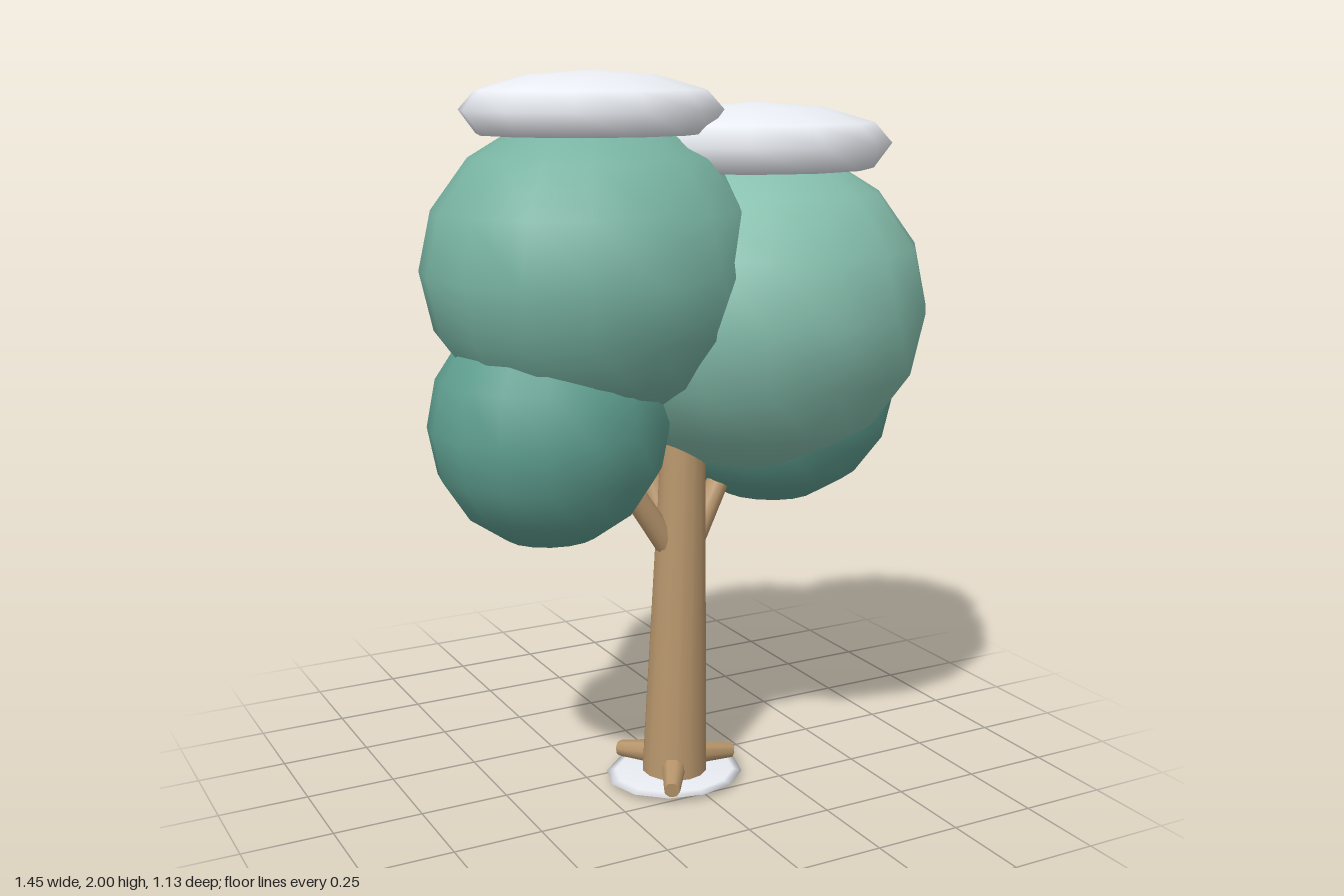
import * as THREE from 'three';

const material = (color) => new THREE.MeshStandardMaterial({ color });
const bark = material(0xb8966c);
const snow = material(0xe9ecf2);
const leafLight = material(0x86bfad);
const leafMid = material(0x78b3a2);
const leafDark = material(0x5f9f90);

function add(group, name, geometry, mat) {
  const mesh = new THREE.Mesh(geometry, mat);
  mesh.name = name;
  group.add(mesh);
  return mesh;
}

// Tapered round limb running between two points
function limb(group, name, from, to, r0, r1, sides = 10) {
  const a = new THREE.Vector3(...from);
  const b = new THREE.Vector3(...to);
  const dir = b.clone().sub(a);
  const mesh = add(group, name, new THREE.CylinderGeometry(r1, r0, dir.length(), sides), bark);
  mesh.position.copy(a).add(b).multiplyScalar(0.5);
  mesh.quaternion.setFromUnitVectors(new THREE.Vector3(0, 1, 0), dir.normalize());
}

// Twelve-sided pad: domed above the rim, nearly flat beneath
function snowPad(group, name, [x, y, z], rx, rz, up, down) {
  const profile = [[0, -down], [0.55, -down], [0.87, -down * 0.95], [1, 0],
    [0.87, up * 0.5], [0.5, up * 0.87], [0, up]].map(([r, h]) => new THREE.Vector2(r, h));
  const geometry = new THREE.LatheGeometry(profile, 12).scale(rx, 1, rz);
  add(group, name, geometry, snow).position.set(x, y, z);
}

export function createModel() {
  const tree = new THREE.Group();
  tree.name = 'snowyTree';
  const baseX = -0.02, baseZ = 0.107;

  // Trunk and branches
  limb(tree, 'trunk', [baseX, 0.002, baseZ], [0.012, 1.2, baseZ], 0.094, 0.056, 14);
  limb(tree, 'rightBranch', [-0.02, 0.67, 0.107], [-0.3, 1.08, 0.12], 0.036, 0.028);
  limb(tree, 'leftBranch', [0.03, 0.68, 0.1], [0.25, 1.05, 0.05], 0.036, 0.028);
  limb(tree, 'backBranch', [-0.03, 0.72, 0.09], [-0.07, 1.1, -0.08], 0.036, 0.028);

  // Three roots spread evenly around the base
  for (let i = 0; i < 3; i++) {
    const angle = (i * Math.PI * 2) / 3;
    const at = (r, y) => [baseX + Math.cos(angle) * r, y, baseZ + Math.sin(angle) * r];
    limb(tree, 'root', at(0.04, 0.064), at(0.188, 0.042), 0.038, 0.023, 8);
  }

  // Snow around the base
  snowPad(tree, 'groundSnow', [baseX, 0.016, baseZ], 0.2, 0.18, 0.012, 0.011);

  // Foliage: centre, radii, colour, snow thickness (0 for none)
  const foliage = [
    ['upperRightFoliage', [-0.267, 1.49, 0.11], [0.46, 0.41, 0.412], leafMid, 0.1],
    ['upperLeftFoliage', [0.225, 1.355, 0.11], [0.5, 0.45, 0.452], leafLight, 0.11],
    ['backFoliage', [-0.02, 1.2, -0.187], [0.42, 0.355, 0.377], leafLight, 0.08],
    ['lowerRightFoliage', [-0.405, 1.09, 0.13], [0.325, 0.33, 0.3], leafDark, 0],
    ['lowerLeftFoliage', [0.345, 1.1, 0.005], [0.355, 0.33, 0.37], leafDark, 0],
  ];
  for (const [name, [x, y, z], [rx, ry, rz], mat, depth] of foliage) {
    const geometry = new THREE.SphereGeometry(1, 16, 8).scale(rx, ry, rz);
    add(tree, name, geometry, mat).position.set(x, y, z);
    if (depth) {
      snowPad(tree, name + 'Snow', [x, y + ry, z], rx * 0.765, rz * 0.765, depth, depth * 0.64);
    }
  }
  return tree;
}
